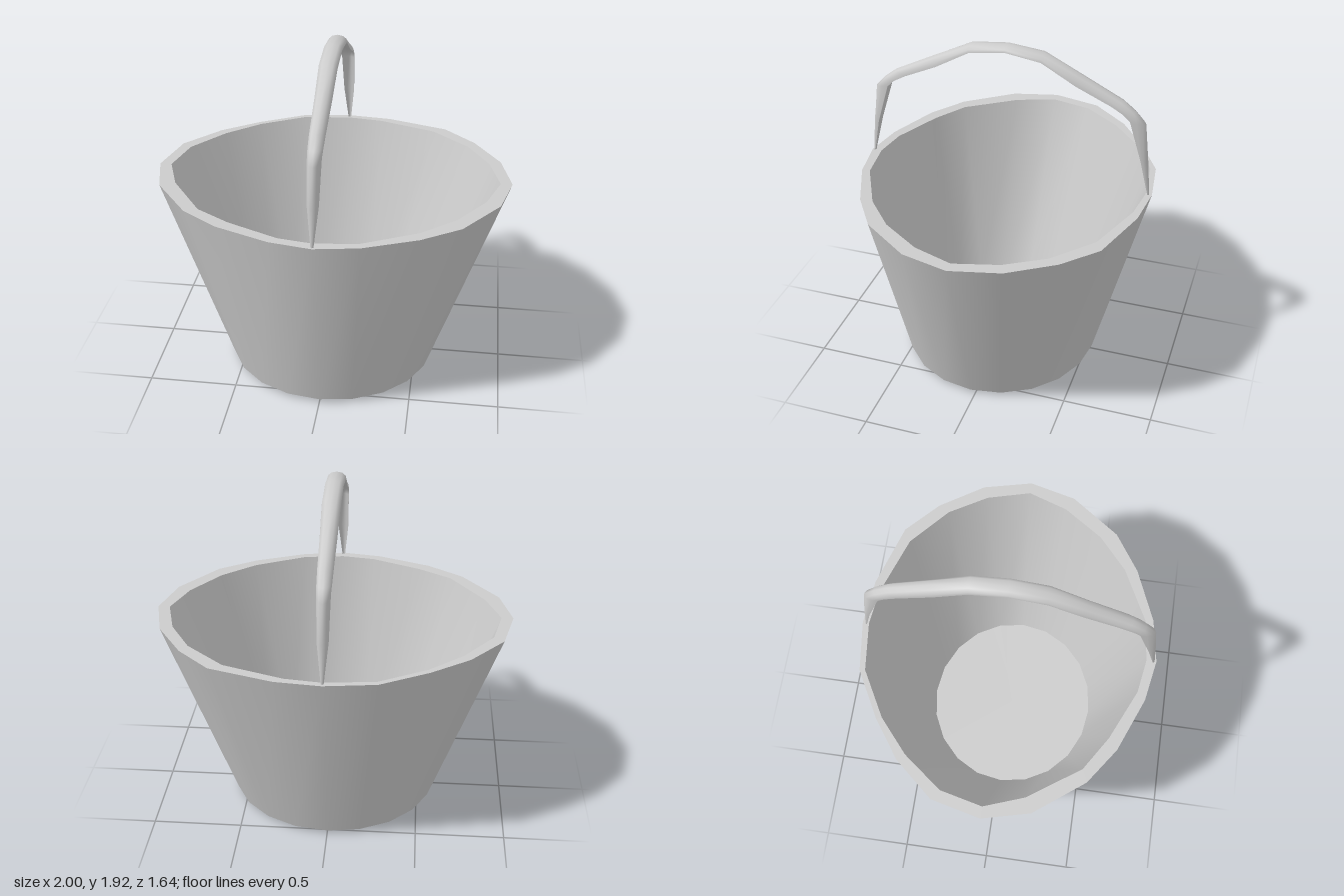
import * as THREE from 'three';

const material = new THREE.MeshStandardMaterial({ color: 0xcccccc, side: THREE.DoubleSide });

// Skin a list of rings (arrays of [x, y, z]) with smooth normals
function loft(name, rings, closed) {
  const n = rings[0].length, index = [];
  for (let r = 0; r < rings.length - 1; r++) {
    for (let i = 0; i < (closed ? n : n - 1); i++) {
      const j = (i + 1) % n;
      const a = r * n + i, b = r * n + j, c = a + n, d = b + n;
      index.push(a, b, d, a, d, c);
    }
  }
  const geometry = new THREE.BufferGeometry();
  geometry.setAttribute('position', new THREE.Float32BufferAttribute(rings.flat(2), 3));
  geometry.setIndex(index);
  geometry.computeVertexNormals();
  const mesh = new THREE.Mesh(geometry, material);
  mesh.name = name;
  return mesh;
}

// Twenty-sided oval, counter-clockwise seen from above
function oval(rx, rz, cz, y) {
  return Array.from({ length: 20 }, (_, i) => {
    const t = (i / 20) * Math.PI * 2;
    return [rx * Math.cos(t), y, cz - rz * Math.sin(t)];
  });
}

const atHeight = (points, y) => points.map(([x, z]) => [x, y, z]);

// Slightly uneven hand-made rim outlines, [x, z]
const RIM_OUTER = [
  [1, -0.01], [0.935, -0.28], [0.78, -0.52], [0.6, -0.69], [0.25, -0.8],
  [0, -0.825], [-0.28, -0.79], [-0.54, -0.65], [-0.75, -0.5], [-0.935, -0.285],
  [-1, -0.01], [-0.935, 0.25], [-0.73, 0.52], [-0.53, 0.66], [-0.23, 0.78],
  [0, 0.82], [0.24, 0.78], [0.53, 0.66], [0.74, 0.52], [0.935, 0.25],
];
const RIM_INNER = [
  [0.935, -0.01], [0.87, -0.25], [0.745, -0.46], [0.53, -0.65], [0.2, -0.765],
  [0, -0.79], [-0.275, -0.76], [-0.53, -0.62], [-0.715, -0.46], [-0.88, -0.245],
  [-0.935, -0.01], [-0.855, 0.21], [-0.66, 0.49], [-0.47, 0.61], [-0.19, 0.735],
  [0, 0.765], [0.235, 0.735], [0.525, 0.59], [0.71, 0.43], [0.86, 0.21],
];

function createBasket() {
  const basket = new THREE.Group();
  basket.name = 'basket';
  const base = oval(0.595, 0.563, 0.027, 0.025);
  const rimOuter = atHeight(RIM_OUTER, 1.15);
  const rimInner = atHeight(RIM_INNER, 1.15);
  const floor = oval(0.53, 0.493, 0.022, 0.08);
  basket.add(
    loft('underside', [oval(0, 0, 0.03, 0.005), base], true),
    loft('outerWall', [base, rimOuter], true),
    loft('rim', [rimOuter, rimInner], true),
    loft('innerWall', [rimInner, floor], true),
    loft('floor', [floor, oval(0, 0, 0.02, 0.075)], true),
  );
  return basket;
}

// Half of the arched handle: outer [z, y], inner [z, y], half width
const HANDLE = [
  [[0.81, 1.15], [0.8, 1.15], 0.008],
  [[0.79, 1.36], [0.755, 1.36], 0.03],
  [[0.765, 1.575], [0.685, 1.59], 0.036],
  [[0.71, 1.635], [0.645, 1.63], 0.039],
  [[0.64, 1.69], [0.575, 1.67], 0.041],
  [[0.4, 1.81], [0.39, 1.755], 0.045],
  [[0.2, 1.905], [0.2, 1.865], 0.05],
];

function createHandle() {
  const stations = [
    ...HANDLE,
    [[0, 1.925], [0, 1.895], 0.05],
    ...[...HANDLE].reverse().map(([o, i, w]) => [[-o[0], o[1]], [-i[0], i[1]], w]),
  ];
  // Each section point is [share of half width, blend from inner to outer]
  const sections = (profile) => stations.map(([o, i, w]) => profile.map(([x, t]) => [
    x * w, i[1] + (o[1] - i[1]) * t, i[0] + (o[0] - i[0]) * t,
  ]));
  const handle = new THREE.Group();
  handle.name = 'handle';
  handle.add(
    loft('handleTop', sections([[-1, 0], [-0.95, 0.45], [-0.6, 0.85], [0, 1], [0.6, 0.85], [0.95, 0.45], [1, 0]]), false),
    loft('handleChannel', sections([[1, 0], [0.5, 0.35], [0, 0.5], [-0.5, 0.35], [-1, 0]]), false),
  );
  return handle;
}

export function createModel() {
  const model = new THREE.Group();
  model.name = 'handledBasket';
  model.add(createBasket(), createHandle());
  return model;
}
